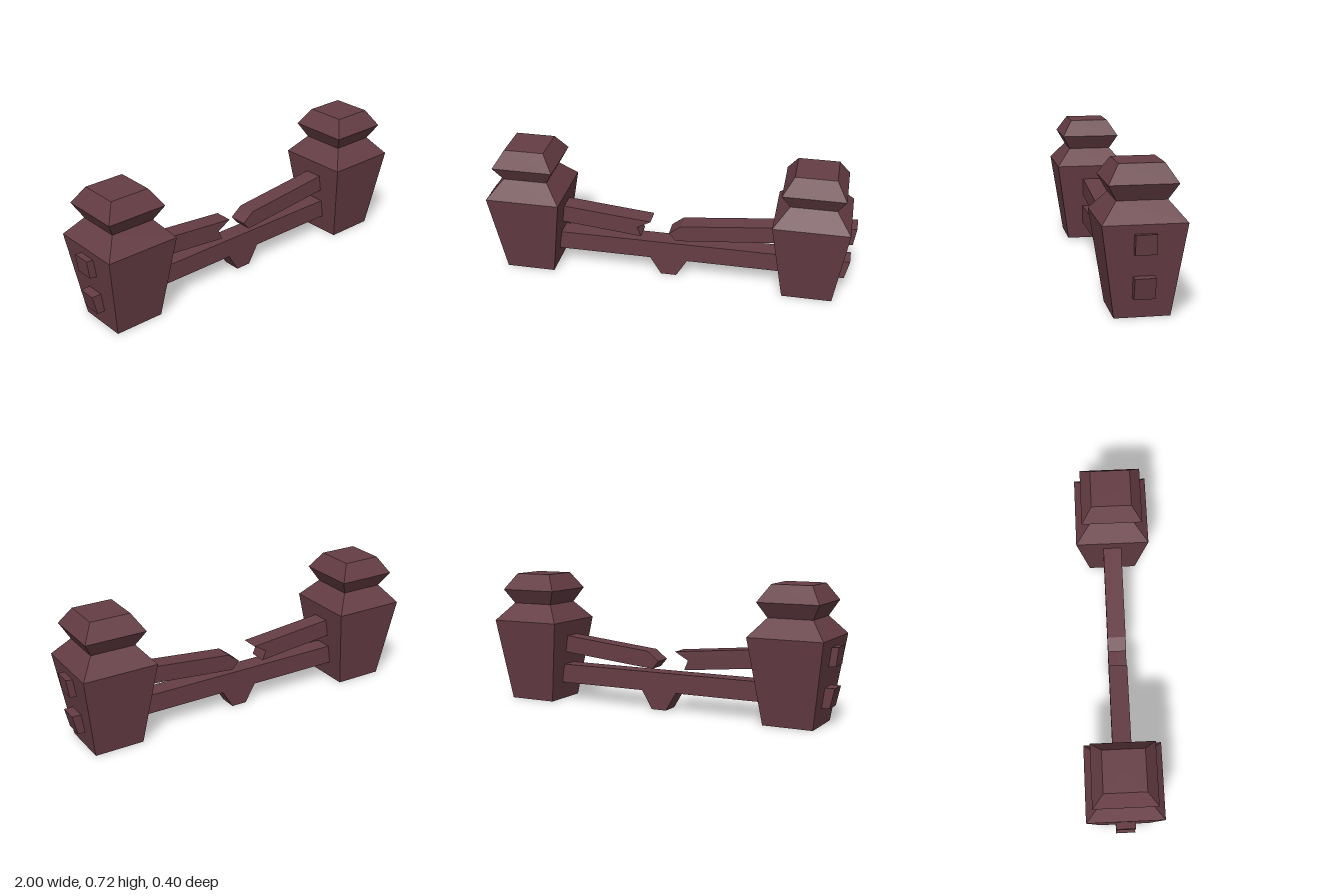
import * as THREE from 'three';

export function createModel() {
  const group = new THREE.Group();
  const wood = new THREE.MeshStandardMaterial({ color: 0x653d44 });
  wood.name = 'darkWood';

  const add = (name, geometry) => {
    const mesh = new THREE.Mesh(geometry, wood);
    mesh.name = name;
    group.add(mesh);
    return mesh;
  };

  // Square post: half widths and heights, from the base to the cap
  const profile = [[0, 0], [0.134, 0], [0.2, 0.453], [0.12, 0.548], [0.164, 0.627], [0.107, 0.716], [0, 0.716]]
    .map(([half, y]) => new THREE.Vector2(half * Math.SQRT2, y));
  const postGeometry = new THREE.LatheGeometry(profile, 4, Math.PI / 4).toNonIndexed();
  postGeometry.computeVertexNormals();
  add('rightPost', postGeometry).position.x = -0.77;
  add('leftPost', postGeometry).position.x = 0.77;

  // Rails: side outlines with a constant thickness
  const rail = (name, outline) => {
    const shape = new THREE.Shape(outline.map(([x, y]) => new THREE.Vector2(x, y)));
    const geometry = new THREE.ExtrudeGeometry(shape, { depth: 0.1, bevelEnabled: false });
    geometry.translate(0, 0, -0.05);
    add(name, geometry);
  };

  // Lower rail with a wedge foot in the middle
  rail('lowerRail', [
    [-0.96, 0.1], [-0.103, 0.1], [-0.043, 0], [0.043, 0], [0.103, 0.1],
    [0.957, 0.1], [0.982, 0.205], [-0.985, 0.205],
  ]);

  // Broken upper rail: notched half and pointed half
  rail('brokenRailRight', [[-0.988, 0.315], [-0.153, 0.231], [-0.175, 0.284], [-0.099, 0.327], [-1, 0.413]]);
  rail('brokenRailLeft', [[0.04, 0.223], [0.985, 0.315], [1, 0.413], [0.067, 0.317], [0.002, 0.267]]);

  return group;
}
